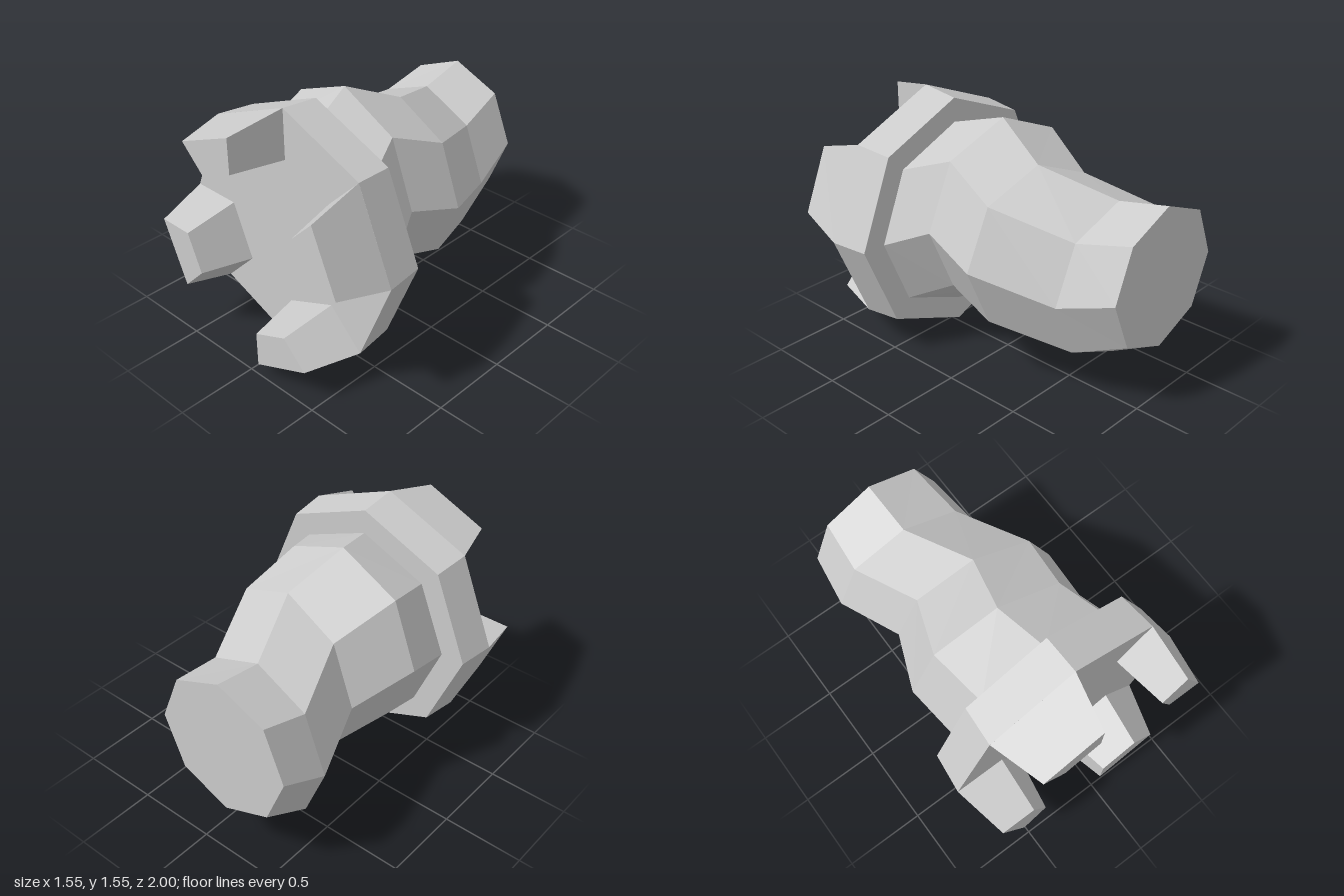
import * as THREE from 'three';

const material = new THREE.MeshStandardMaterial({ color: 0xcccccc, flatShading: true });

// Skin rings (counter-clockwise seen from +z, ordered front to back) with optional flat caps
function loft(name, rings, capFront, capBack) {
  const pos = [];
  const n = rings[0].length;
  const tri = (a, b, c) => pos.push(...a, ...b, ...c);
  for (let r = 0; r < rings.length - 1; r++) {
    for (let i = 0; i < n; i++) {
      const j = (i + 1) % n;
      const [f, b] = [rings[r], rings[r + 1]];
      tri(f[i], b[i], f[j]);
      tri(f[j], b[i], b[j]);
    }
  }
  const last = rings[rings.length - 1];
  for (let i = 1; i < n - 1; i++) {
    if (capFront) tri(rings[0][0], rings[0][i], rings[0][i + 1]);
    if (capBack) tri(last[0], last[i + 1], last[i]);
  }
  const geometry = new THREE.BufferGeometry();
  geometry.setAttribute('position', new THREE.Float32BufferAttribute(pos, 3));
  geometry.computeVertexNormals();
  const mesh = new THREE.Mesh(geometry, material);
  mesh.name = name;
  return mesh;
}

// Octagon around (x, y, z); slope shears it along z across its width
function octagon(x, y, z, radius, slope = 0) {
  return Array.from({ length: 8 }, (_, i) => {
    const a = (i * Math.PI) / 4;
    const dx = radius * Math.cos(a);
    return [x + dx, y + radius * Math.sin(a), z + slope * dx];
  });
}

export function createModel() {
  const group = new THREE.Group();
  group.name = 'model';
  const cy = 0.78;

  // Wide head with a stepped back rim
  group.add(loft('head', [
    octagon(0, cy, 0.67, 0.777),
    octagon(0, cy, 0.43, 0.75),
    octagon(0, cy, 0.43, 0.6),
  ], true, false));

  // Crooked, tapering tail
  group.add(loft('tail', [
    octagon(0, cy, 0.43, 0.6),
    octagon(-0.09, 0.897, 0.122, 0.565, 0.092),
    octagon(0.01, 0.783, -0.238, 0.515, 0.12),
    octagon(-0.165, 0.665, -0.682, 0.49, 0.066),
    octagon(-0.182, 0.78, -1, 0.438),
  ], false, true));

  // Four tapered teeth on alternate edges of the head
  const tip = [[-0.065, 0.705], [-0.45, 0.543], [-0.297, 0.39], [-0.065, 0.486]];
  const base = [[0, 0.777], [-0.549, 0.549], [-0.33, 0.33], [0, 0.467]];
  for (let k = 0; k < 4; k++) {
    const tooth = loft(`tooth${k + 1}`, [
      tip.map(([x, y]) => [x, y, 1]),
      base.map(([x, y]) => [x, y, 0.67]),
    ], true, false);
    tooth.position.y = cy;
    tooth.rotation.z = (k * Math.PI) / 2;
    group.add(tooth);
  }
  return group;
}
